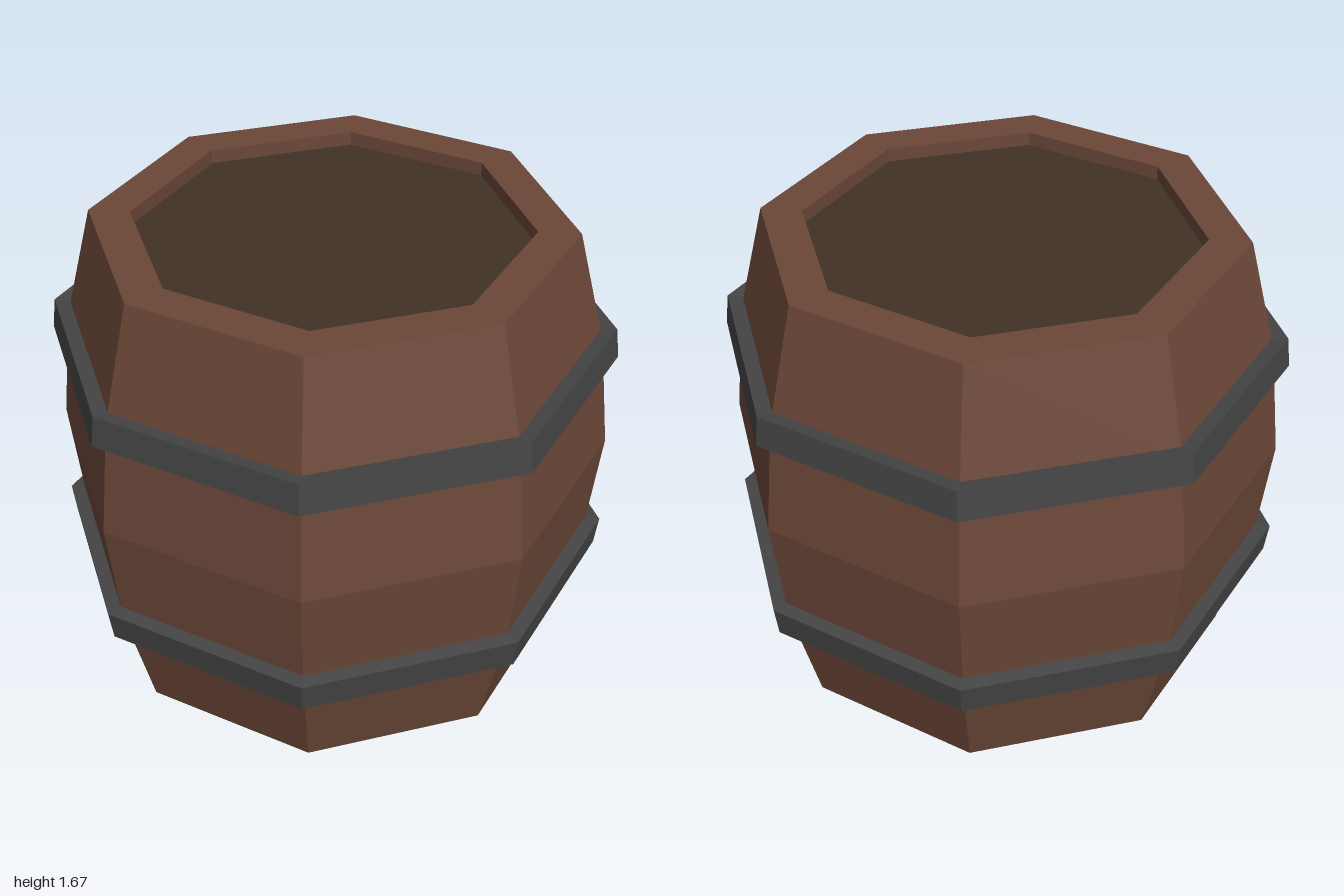
import * as THREE from 'three';

const SIDES = 8, HEIGHT = 1.67;
const material = (name, color) => {
  const m = new THREE.MeshStandardMaterial({ color });
  m.name = name;
  return m;
};

// Eight-sided lathe with one flat normal per face; profile runs counter-clockwise
function facetedLathe(points) {
  const profile = points.map(([r, y]) => new THREE.Vector2(r, y));
  const geometry = new THREE.LatheGeometry(profile, SIDES).toNonIndexed();
  geometry.computeVertexNormals();
  return geometry;
}

export function createModel() {
  const barrel = new THREE.Group();
  barrel.name = 'barrel';
  const wood = material('brown wood', 0x6b4738);
  const darkWood = material('dark lid wood', 0x413226);
  const iron = material('dark iron', 0x444444);

  const add = (name, geometry, mat) => {
    const mesh = new THREE.Mesh(geometry, mat);
    mesh.name = name;
    barrel.add(mesh);
    return mesh;
  };

  // Bulging body with closed bottom, flat rim and recess wall
  add('body', facetedLathe([
    [0, 0], [0.835, 0], [0.942, 0.42], [0.988, HEIGHT / 2],
    [0.942, HEIGHT - 0.42], [0.835, HEIGHT], [0.69, HEIGHT], [0.69, HEIGHT - 0.05],
  ]), wood);

  // Recessed lid
  const lid = add('lid', new THREE.CircleGeometry(0.69, SIDES).rotateX(-Math.PI / 2), darkWood);
  lid.position.y = HEIGHT - 0.05;

  // Two hoops, tilted with the slope of the body and mirrored about its middle
  const hoop = [[0.92, 1.185], [1.0, 1.196], [0.986, 1.306], [0.91, 1.296], [0.92, 1.185]];
  add('upperHoop', facetedLathe(hoop), iron);
  add('lowerHoop', facetedLathe(hoop.map(([r, y]) => [r, HEIGHT - y]).reverse()), iron);

  return barrel;
}
